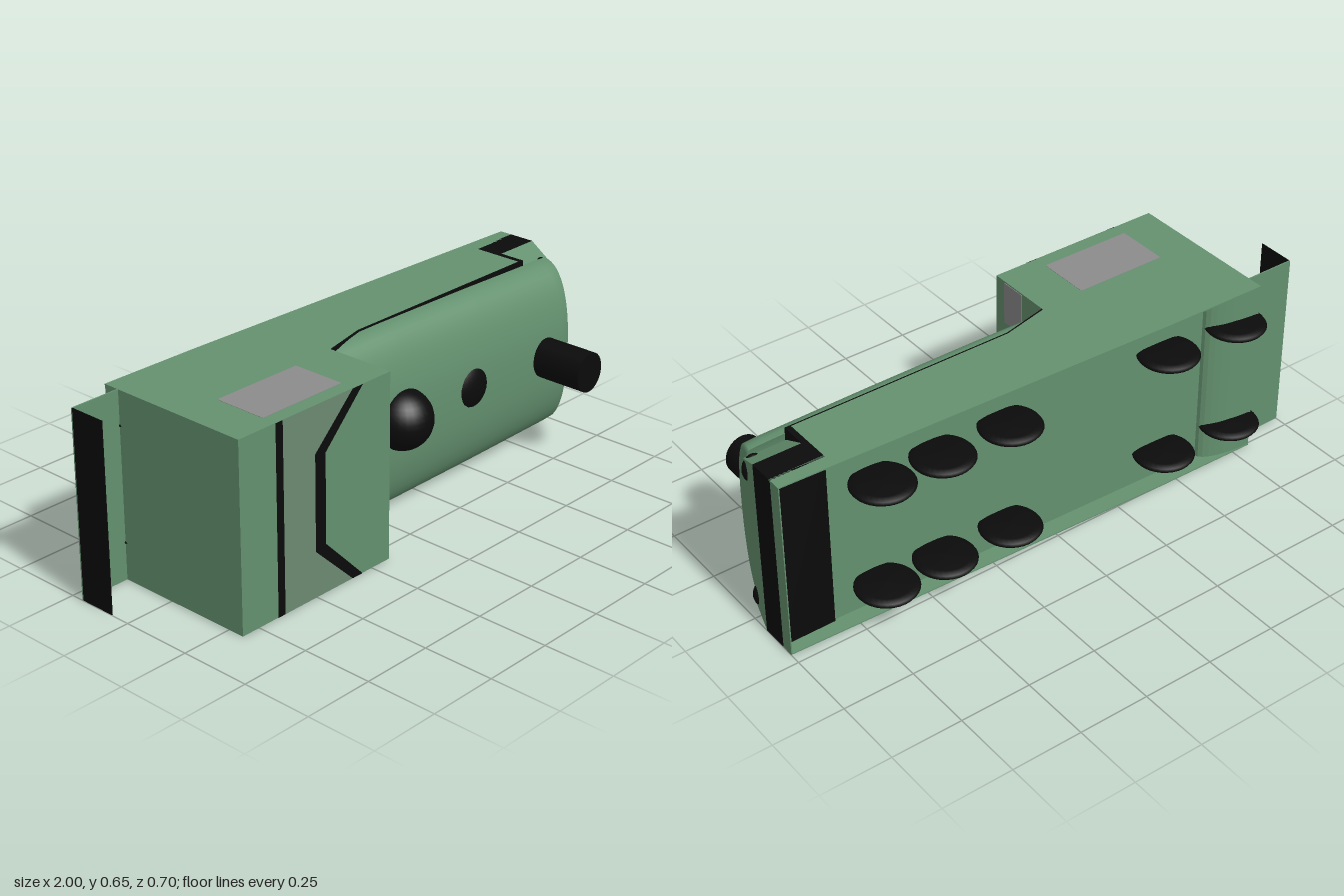
import * as THREE from 'three';

const W = 0.65; // overall width, measured along y
const MID = W / 2;
const mat = (color) => new THREE.MeshStandardMaterial({ color, side: THREE.DoubleSide });
const green = mat(0x64916f), dark = mat(0x0b0b0b), pale = mat(0x6b8a72), glass = mat(0x8c8c8c);

export function createModel() {
  const model = new THREE.Group();

  const add = (name, geometry, material, x = 0, y = 0, z = 0) => {
    const mesh = new THREE.Mesh(geometry, material);
    mesh.name = name;
    mesh.position.set(x, y, z);
    model.add(mesh);
    return mesh;
  };

  // box given by its limits on each axis
  const block = (name, material, [x0, x1], [y0, y1], [z0, z1]) =>
    add(name, new THREE.BoxGeometry(x1 - x0, y1 - y0, z1 - z0), material,
      (x0 + x1) / 2, (y0 + y1) / 2, (z0 + z1) / 2);

  // side profile of (x, z) points, extruded across the width from y0 to y1
  const profile = (name, material, points, y0, y1) => {
    const shape = new THREE.Shape(points.map(([x, z]) => new THREE.Vector2(x, -z)));
    const geometry = new THREE.ExtrudeGeometry(shape, { depth: y1 - y0, bevelEnabled: false });
    geometry.rotateX(-Math.PI / 2);
    return add(name, geometry, material, 0, y0, 0);
  };

  // flat marking in the xy plane
  const marking = (name, material, points, z) =>
    add(name, new THREE.ShapeGeometry(new THREE.Shape(points.map((p) => new THREE.Vector2(...p)))), material, 0, 0, z);

  // cab and frame in one piece: rounded roll at the rear, recessed floor ahead of it
  const roll = [];
  for (let i = 0; i <= 8; i++) {
    const a = (i / 8) * Math.PI / 2;
    roll.push([-0.82 + 0.19 * Math.sin(a), -0.197 - 0.061 * Math.cos(a)]);
  }
  const upper = [[0.81, 0.02], [0, 0.02], [-0.17, 0.06], [-0.17, 0.31], [-0.82, 0.31]];
  profile('cabAndFrame', green, [...roll, [0.81, -0.158], ...upper], 0, W);
  const skirt = [[-0.82, -0.19], [-0.82, -0.26], [-0.45, -0.255], [1, -0.21], [1, -0.158], [0.81, -0.158]];
  for (const y of [0, W - 0.004]) profile('sideSkirt', green, skirt, y, y + 0.004);
  block('frontSkirt', green, [0.996, 1], [0, W], [-0.21, -0.165]);

  // front beam, dark bulkhead and the tapered deck above it
  block('frontBeam', dark, [0.81, 1], [0, W], [-0.165, -0.07]);
  block('bulkhead', dark, [0.81, 0.83], [0, W], [-0.07, 0.02]);
  const deck = new THREE.BoxGeometry(0.17, W, 0.09);
  const dp = deck.attributes.position;
  for (let i = 0; i < dp.count; i++) {
    if (dp.getZ(i) < 0) continue;
    dp.setY(i, dp.getY(i) * 0.87);
    if (dp.getX(i) > 0) dp.setX(i, 0.065);
  }
  deck.computeVertexNormals();
  add('frontDeck', deck, green, 0.915, MID, -0.025);

  // rear coupling plate with its upright end strip
  block('rearPlate', green, [-1, -0.82], [0, W], [-0.205, -0.2]);
  block('rearBeam', dark, [-1, -0.997], [0, W], [-0.2, -0.07]);

  // dark running board following the top of the frame
  profile('runningBoard', dark,
    [[-0.17, 0.06], [0, 0.02], [0.83, 0.02], [0.83, 0.025], [0, 0.025], [-0.17, 0.066]], 0, W);

  // boiler: lofted half-round sections, closed at a sloping front
  // each station: x, height, half width, backward lean of the top
  const stations = [
    [-0.17, 0.116, 0.32, 0], [0.1, 0.124, 0.32, 0], [0.5, 0.133, 0.314, 0], [0.9, 0.142, 0.304, 0.01],
    [0.955, 0.142, 0.301, 0.035], [0.966, 0.134, 0.288, 0.04], [0.968, 0, 0, 0],
  ];
  const N = 32;
  const boiler = new THREE.PlaneGeometry(1, 1, N, stations.length - 1);
  const bp = boiler.attributes.position;
  stations.forEach(([x, h, w, lean], j) => {
    for (let i = 0; i <= N; i++) {
      const a = (i / N) * Math.PI, c = Math.cos(a);
      const s = Math.pow(Math.max(0, Math.sin(a)), 0.84);
      const y = MID + Math.sign(c) * Math.pow(Math.abs(c), 0.84) * w;
      bp.setXYZ(j * (N + 1) + i, x - lean * s, y, 0.022 + h * s);
    }
  });
  boiler.computeVertexNormals();
  add('boiler', boiler, green);

  // domes along the boiler: radius, base height, flattening
  for (const [x, r, z, flat] of [[0.09, 0.105, 0.132, 1], [0.43, 0.093, 0.12, 0.5]]) {
    add('dome', new THREE.SphereGeometry(r, 28, 18), dark, x, 0.343, z).scale.z = flat;
  }
  const chimney = new THREE.CylinderGeometry(0.065, 0.065, 0.24, 28);
  chimney.rotateX(Math.PI / 2);
  add('chimney', chimney, dark, 0.8, 0.338, 0.23).scale.y = 1.1;

  // lamps on either side of the front
  for (const y of [0.08, 0.57]) {
    const lamp = add('lamp', new THREE.SphereGeometry(0.05, 20, 14), dark, 0.955, y, 0.005);
    lamp.scale.set(0.8, 1, 0.56);
  }

  // wheels: thin discs with a slightly rounded rim
  const rim = [[0, -0.016], [0.08, -0.013], [0.1, -0.007], [0.105, 0], [0.1, 0.007], [0.08, 0.013], [0, 0.016]];
  const wheel = new THREE.LatheGeometry(rim.map((p) => new THREE.Vector2(...p)), 32);
  for (const y of [0.13, 0.53]) {
    for (const x of [-0.73, -0.445, 0.19, 0.445, 0.665]) add('wheel', wheel, dark, x, y, -0.245);
  }

  // roof markings
  marking('roofStripe', dark, [[-0.67, 0], [-0.64, 0], [-0.64, W], [-0.67, W]], 0.3115);
  marking('roofPanel', pale, [[-0.64, 0], [-0.34, 0], [-0.505, 0.16], [-0.505, 0.49], [-0.34, W], [-0.64, W]], 0.3112);
  marking('roofChevron', dark, [[-0.34, 0], [-0.295, 0], [-0.46, 0.17], [-0.46, 0.48], [-0.295, W],
    [-0.34, W], [-0.505, 0.49], [-0.505, 0.16]], 0.3115);

  // cab windows on both sides and facing forward
  for (const y of [-0.001, W]) block('sideWindow', glass, [-0.67, -0.335], [y, y + 0.001], [0.07, 0.26]);
  block('frontWindow', glass, [-0.17, -0.168], [0.49, 0.645], [0.17, 0.265]);
  for (const z of [0.12, 0.215]) block('frontWindow', glass, [-0.17, -0.168], [0.007, 0.165], [z, z + 0.05]);

  return model;
}
